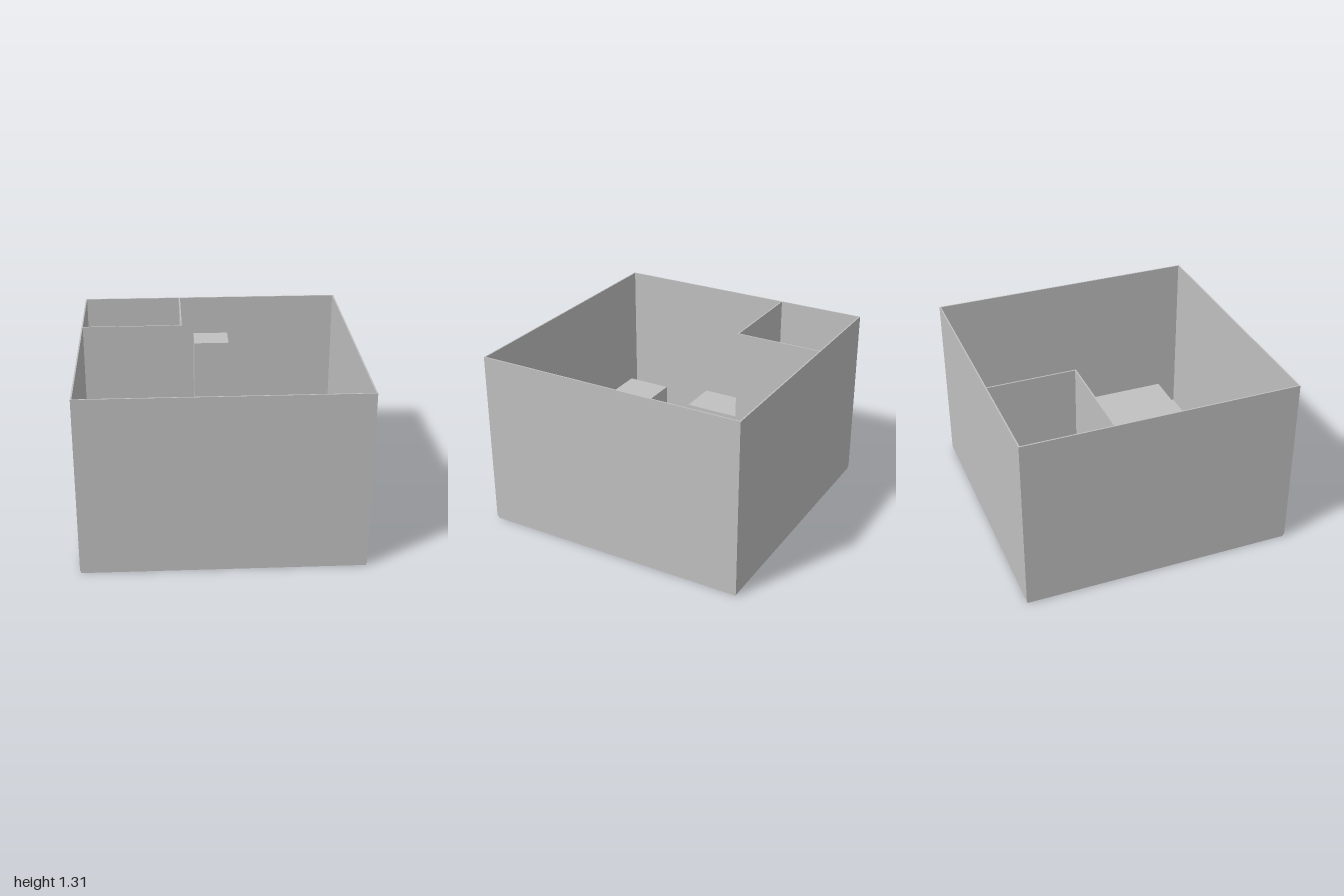
import * as THREE from 'three';

export function createModel() {
  const model = new THREE.Group();
  model.name = 'studioRoom';
  const grey = new THREE.MeshStandardMaterial({ color: 0xc0c0c0 });
  grey.name = 'plain grey';

  const FLOOR = 0.02, TOP = 1.315, THICK = 0.01;

  // Box given by its extents along x, y and z
  function block(name, x0, x1, y0, y1, z0, z1) {
    const mesh = new THREE.Mesh(new THREE.BoxGeometry(x1 - x0, y1 - y0, z1 - z0), grey);
    mesh.position.set((x0 + x1) / 2, (y0 + y1) / 2, (z0 + z1) / 2);
    mesh.name = name;
    model.add(mesh);
  }

  // Floor slab, set in slightly under the walls
  block('floor', -0.994, 0.994, 0, FLOOR, -0.994, 0.994);

  // Outer walls
  const inner = 1 - THICK;
  block('backWall', -1, 1, FLOOR, TOP, -1, -inner);
  block('frontWall', -1, 1, FLOOR, TOP, inner, 1);
  block('rightWall', -1, -inner, FLOOR, TOP, -inner, inner);
  block('leftWall', inner, 1, FLOOR, TOP, -inner, inner);

  // Bathroom partitions in the back corner
  block('bathroomSideWall', -0.255, -0.245, FLOOR, TOP, -inner, -0.345);
  block('bathroomFrontWall', -inner, -0.255, FLOOR, TOP, -0.355, -0.345);

  // Furniture: name, x range, z range, top height
  const furniture = [
    ['shower', -0.945, -0.6, -0.985, -0.64, 0.08],
    ['washbasin', -0.49, -0.295, -0.95, -0.75, 0.42],
    ['toilet', -0.645, -0.45, -0.63, -0.38, 0.23],
    ['refrigerator', -0.14, 0.135, -0.975, -0.745, 1.015],
    ['desk', 0.3, 0.94, -0.975, -0.675, 0.4],
    ['chair', 0.36, 0.625, -0.65, -0.452, 0.25],
    ['bed', 0.345, 0.94, -0.18, 0.82, 0.25],
    ['sideTable', -0.975, -0.665, -0.295, 0.295, 0.4],
    ['sofa', -0.87, -0.08, 0.62, 0.97, 0.4],
  ];
  for (const [name, x0, x1, z0, z1, top] of furniture) block(name, x0, x1, FLOOR, top, z0, z1);

  return model;
}
